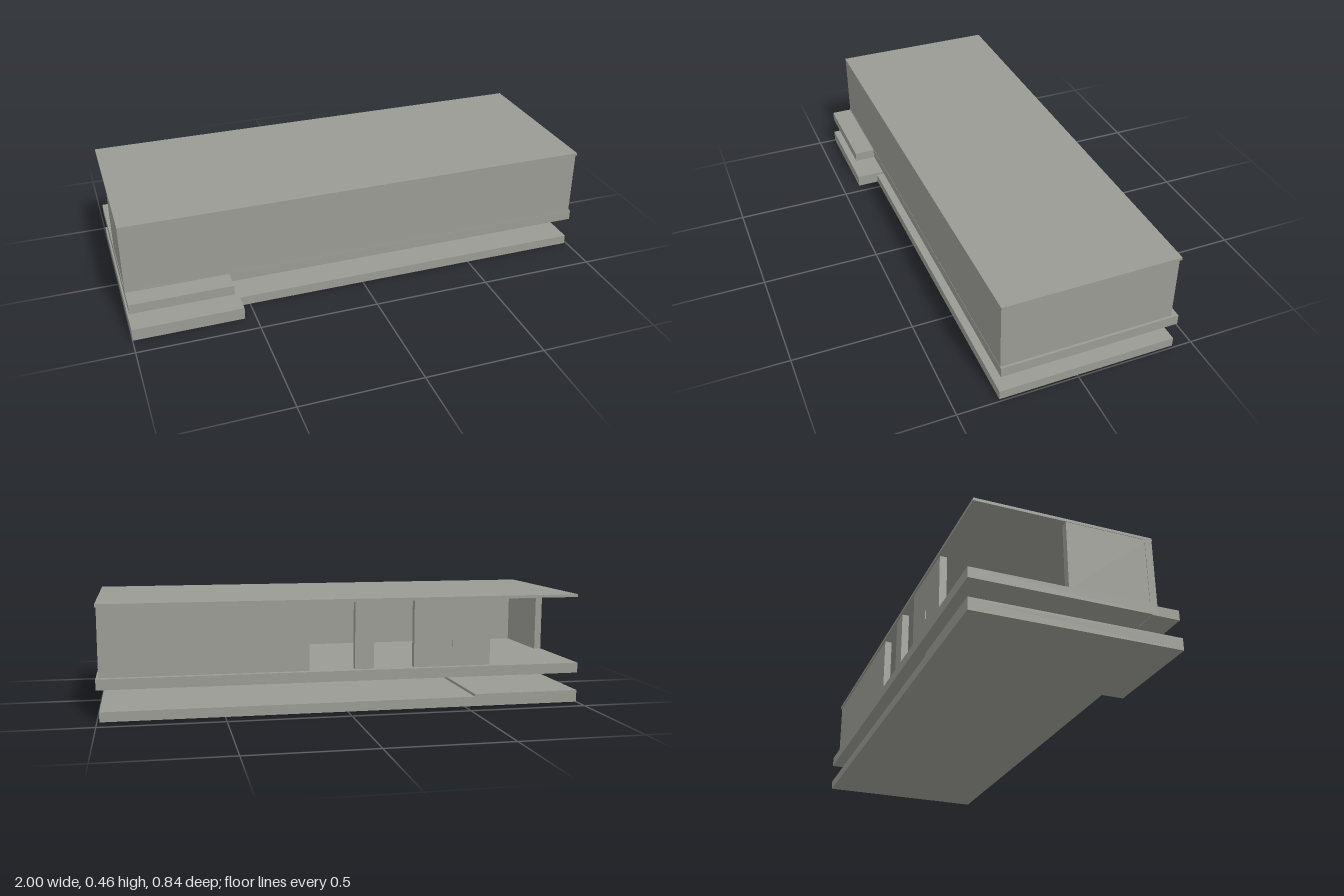
import * as THREE from 'three';

export function createModel() {
  const model = new THREE.Group();
  const concrete = new THREE.MeshStandardMaterial({ color: 0x9b9b95 });
  concrete.name = 'warm grey concrete';

  // Box given by its limits on each axis
  function block(name, [x0, x1], [y0, y1], [z0, z1], parent = model) {
    const mesh = new THREE.Mesh(new THREE.BoxGeometry(x1 - x0, y1 - y0, z1 - z0), concrete);
    mesh.name = name;
    mesh.position.set((x0 + x1) / 2, (y0 + y1) / 2, (z0 + z1) / 2);
    parent.add(mesh);
    return mesh;
  }

  // L-shaped slab: main rectangle with a step at the front of the -x end
  function slab(name, xMax, stepX, stepZ, y0, y1) {
    const shape = new THREE.Shape([
      [-1, 0.42], [xMax, 0.42], [xMax, -0.325], [stepX, -0.325], [stepX, -stepZ], [-1, -stepZ],
    ].map(([x, y]) => new THREE.Vector2(x, y)));
    const geometry = new THREE.ExtrudeGeometry(shape, { depth: y1 - y0, bevelEnabled: false });
    geometry.rotateX(-Math.PI / 2);
    const mesh = new THREE.Mesh(geometry, concrete);
    mesh.name = name;
    mesh.position.y = y0;
    model.add(mesh);
  }

  // Ground plate, with its raised end and a small bump
  slab('groundPlate', 0.99, -0.545, 0.42, 0, 0.04);
  block('raisedGroundEnd', [-1, -0.545], [0.035, 0.051], [-0.42, 0.42]);
  block('groundBump', [0.46, 0.53], [0.035, 0.055], [0.015, 0.06]);

  // Raised floor, with the lower entrance step
  slab('floorPlate', 1, -1, 0.325, 0.127, 0.17);
  block('entranceStep', [-1, -0.58], [0.124, 0.165], [0.3, 0.415]);

  // Walls of the hollow pavilion
  const walls = new THREE.Group();
  walls.name = 'walls';
  model.add(walls);
  const wallY = [0.165, 0.452];
  block('frontWall', [-1, 0.99], wallY, [0.294, 0.324], walls);
  block('closedEndWall', [0.96, 0.99], wallY, [-0.393, 0.324], walls);
  block('openEndWall', [-0.998, -0.968], wallY, [-0.035, 0.31], walls);

  // Back wall pieces, leaving two openings and an open corner
  for (const span of [[0.155, 0.99], [-0.115, -0.035], [-0.615, -0.285]]) {
    block('backWall', span, wallY, [-0.393, -0.363], walls);
  }
  block('doorHandle', [-0.457, -0.451], [0.25, 0.29], [-0.397, -0.39], walls);

  // Thin flat roof
  block('roof', [-1, 0.995], [0.449, 0.461], [-0.4, 0.326]);

  return model;
}
